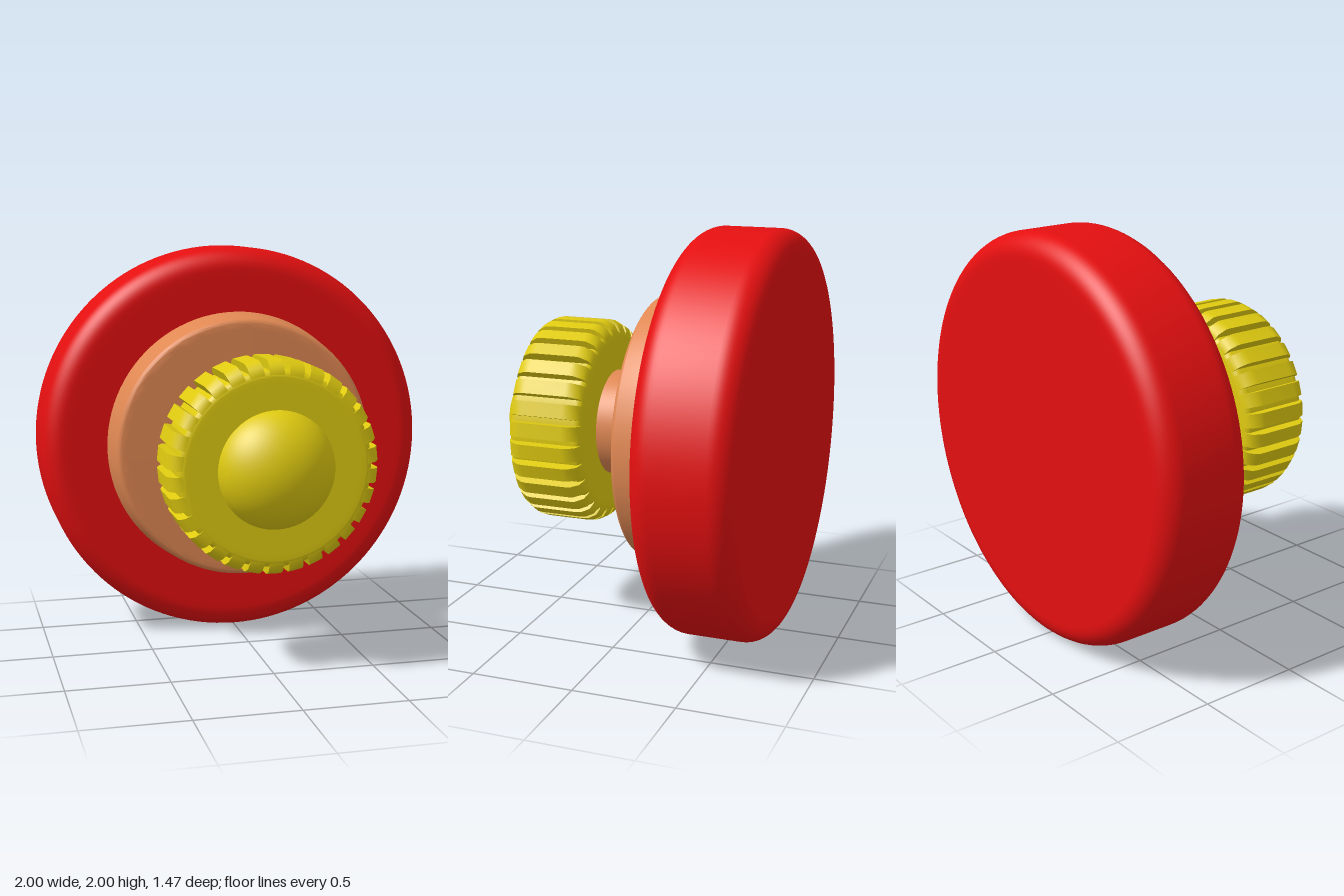
import * as THREE from 'three';
import { toCreasedNormals } from 'three/addons/utils/BufferGeometryUtils.js';

const colour = (name, hex) => {
  const m = new THREE.MeshStandardMaterial({ color: hex });
  m.name = name;
  return m;
};

// Turn a profile of [radius, z, cornerRadius] points around the z axis, back to front
function turned(profile, segments = 96) {
  const path = new THREE.Path();
  profile.forEach(([r, z, c], i) => {
    if (i === 0) return path.moveTo(r, z);
    if (!c) return path.lineTo(r, z);
    const p = new THREE.Vector2(r, z);
    const toward = ([a, b]) => new THREE.Vector2(a, b).sub(p).setLength(c).add(p);
    const a = toward(profile[i - 1]), b = toward(profile[i + 1]);
    const k = 0.448; // near-circular corner
    const h1 = a.clone().lerp(p, 1 - k), h2 = b.clone().lerp(p, 1 - k);
    path.lineTo(a.x, a.y);
    path.bezierCurveTo(h1.x, h1.y, h2.x, h2.y, b.x, b.y);
  });
  const geo = new THREE.LatheGeometry(path.getPoints(10), segments);
  geo.rotateX(Math.PI / 2);
  return toCreasedNormals(geo, 0.6);
}

export function createModel() {
  const red = colour('red', 0xe40f10);
  const tan = colour('tan', 0xe08853);
  const yellow = colour('yellow', 0xdfca10);

  const model = new THREE.Group();
  model.name = 'knobbedWheel';
  const body = new THREE.Group();
  body.position.y = 1;
  model.add(body);
  const add = (name, geo, mat, parent = body) => {
    const mesh = new THREE.Mesh(geo, mat);
    mesh.name = name;
    parent.add(mesh);
    return mesh;
  };

  // Large rounded disc at the back
  add('disc', turned([[0, -0.735], [0.86, -0.735], [1, -0.735, 0.11], [1, -0.25, 0.11],
    [0.86, -0.25], [0, -0.25]], 128), red);

  // Tapered flange and the shaft in front of it
  add('flange', turned([[0, -0.26], [0.676, -0.26], [0.652, -0.05, 0.025],
    [0.6, -0.05], [0, -0.05]]), tan);
  add('shaft', turned([[0, -0.06], [0.262, -0.06], [0.262, 0.2], [0, 0.2]], 64), tan);

  // Ribbed grip: a plain core with thirty chamfered ribs
  const grip = new THREE.Group();
  grip.name = 'grip';
  body.add(grip);
  add('gripCore', turned([[0, 0.178], [0.4, 0.178], [0.467, 0.178, 0.035],
    [0.467, 0.55, 0.035], [0.4, 0.55], [0, 0.55]]), yellow, grip);

  const width = 0.07;
  const side = new THREE.Shape([[0.42, 0.18], [0.455, 0.18], [0.485, 0.195], [0.507, 0.235],
    [0.51, 0.26], [0.51, 0.47], [0.507, 0.495], [0.485, 0.533], [0.455, 0.548], [0.42, 0.548]]
    .map(([r, z]) => new THREE.Vector2(r, z)));
  const ribGeo = new THREE.ExtrudeGeometry(side, { depth: width, bevelEnabled: false });
  ribGeo.translate(0, 0, -width / 2);
  ribGeo.rotateX(Math.PI / 2);
  const ribs = 30;
  const rib = toCreasedNormals(ribGeo, 0.7);
  for (let i = 0; i < ribs; i++) {
    add('gripRib', rib, yellow, grip).rotation.z = Math.PI / 2 + (i / ribs) * Math.PI * 2;
  }

  // Domed cap on the front
  const dome = new THREE.SphereGeometry(1, 64, 24, 0, Math.PI * 2, 0, Math.PI / 2);
  dome.rotateX(Math.PI / 2);
  dome.scale(0.288, 0.288, 0.235);
  dome.translate(0, 0, 0.5);
  add('domeCap', dome, yellow);

  return model;
}
